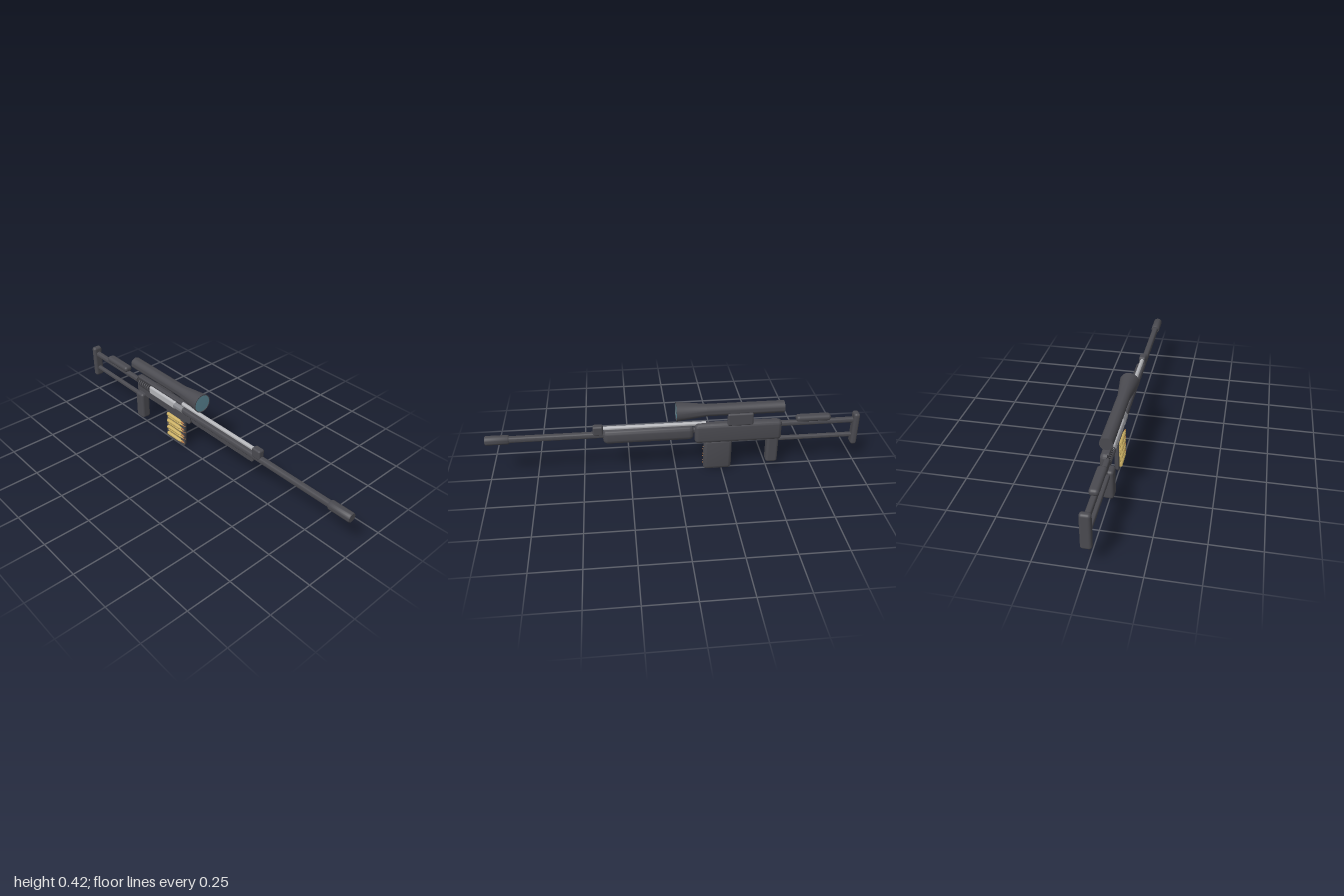
import * as THREE from 'three';
import { toCreasedNormals } from 'three/addons/utils/BufferGeometryUtils.js';
import { RoundedBoxGeometry } from 'three/addons/geometries/RoundedBoxGeometry.js';

const mat = (name, color) => {
  const m = new THREE.MeshStandardMaterial({ color });
  m.name = name;
  return m;
};

export function createModel() {
  const model = new THREE.Group();
  const gunmetal = mat('gunmetal', 0x4a4a50);
  const steel = mat('polished steel', 0xb4b5b9);
  const boltGrey = mat('bolt grey', 0x85868b);
  const recess = mat('dark recess', 0x38383d);
  const brass = mat('brass', 0xc9ae62);
  const copper = mat('copper', 0xa8713f);
  const glass = mat('lens blue', 0x5c8796);

  const add = (name, geometry, material, parent = model) => {
    const mesh = new THREE.Mesh(geometry, material);
    mesh.name = name;
    parent.add(mesh);
    return mesh;
  };

  // Rounded box given by its extents
  const block = (name, x0, x1, y0, y1, z0, z1, r, material = gunmetal) => {
    const m = add(name, new RoundedBoxGeometry(x1 - x0, y1 - y0, z1 - z0, 3, r), material);
    m.position.set((x0 + x1) / 2, (y0 + y1) / 2, (z0 + z1) / 2);
    return m;
  };

  // Rounded box sliced flat along the z = 0 plane, keeping the rear half
  const halfBlock = (name, x0, x1, y0, y1, depth, r) => {
    const g = new RoundedBoxGeometry(x1 - x0, y1 - y0, depth * 2, 3, r);
    const p = g.attributes.position;
    for (let i = 0; i < p.count; i++) p.setZ(i, Math.min(p.getZ(i), 0));
    const m = add(name, toCreasedNormals(g, 0.6), gunmetal);
    m.position.set((x0 + x1) / 2, (y0 + y1) / 2, 0);
    return m;
  };

  // Turned part along x from [x, radius] pairs
  const turned = (name, profile, y, z, material, parent = model, sides = 24) => {
    const pts = profile.map(([x, r]) => new THREE.Vector2(r, x));
    const g = new THREE.LatheGeometry(pts, sides);
    g.rotateZ(-Math.PI / 2);
    const m = add(name, toCreasedNormals(g, 0.6), material, parent);
    m.position.set(0, y, z);
    return m;
  };
  const rod = (name, x0, x1, y, r, material, z = 0) =>
    turned(name, [[x0, 0], [x0, r], [x1, r], [x1, 0]], y, z, material);

  // Skeleton stock
  block('buttPlate', -1, -0.966, 0.115, 0.307, -0.027, 0.027, 0.014);
  rod('upperStockRod', -0.975, -0.56, 0.262, 0.016, gunmetal);
  rod('lowerStockRod', -0.975, -0.56, 0.169, 0.013, gunmetal);
  block('cheekRest', -0.84, -0.65, 0.272, 0.307, -0.024, 0.024, 0.016);

  // Grip and opened receiver
  block('grip', -0.56, -0.495, 0.03, 0.195, -0.028, 0.028, 0.015);
  halfBlock('receiverHalf', -0.57, -0.1, 0.178, 0.293, 0.036, 0.02);
  block('receiverCavity', -0.55, -0.15, 0.223, 0.281, -0.004, 0.002, 0.002, recess);
  block('receiverTopRail', -0.55, -0.15, 0.278, 0.293, -0.016, 0.008, 0.005);

  // Bolt and recoil spring
  block('boltCarrier', -0.444, -0.213, 0.227, 0.277, -0.016, 0.016, 0.012, steel);
  rod('boltHead', -0.22, -0.15, 0.252, 0.021, boltGrey);
  const turns = 6;
  const coil = [];
  for (let i = 0; i <= turns * 10; i++) {
    const a = (i / 10) * Math.PI * 2;
    coil.push(new THREE.Vector3(-0.54 + (0.098 * i) / (turns * 10),
      0.252 + 0.016 * Math.cos(a), 0.016 * Math.sin(a)));
  }
  add('recoilSpring', new THREE.TubeGeometry(new THREE.CatmullRomCurve3(coil), 140, 0.0035, 6), gunmetal);

  // Barrel, gas system and opened handguard
  rod('barrel', -0.16, 0.9, 0.25, 0.018, gunmetal);
  turned('muzzleBrake', [[0.875, 0], [0.875, 0.021], [0.882, 0.025], [0.995, 0.025],
    [1, 0.022], [1, 0]], 0.25, 0, gunmetal);
  rod('gasRod', -0.16, 0.395, 0.287, 0.011, steel);
  block('gasBlock', 0.385, 0.44, 0.25, 0.306, -0.019, 0.019, 0.01);
  halfBlock('handguardHalf', -0.095, 0.387, 0.2, 0.282, 0.031, 0.025);

  // Scope
  turned('scopeBody', [[-0.577, 0], [-0.577, 0.033], [-0.16, 0.033], [0, 0.052],
    [0, 0.048], [-0.008, 0.047], [-0.008, 0]], 0.367, 0, gunmetal, model, 32);
  turned('frontLens', [[-0.006, 0.0485], [-0.002, 0.0485], [-0.001, 0]], 0.367, 0, glass, model, 32);
  block('scopeMount', -0.41, -0.273, 0.283, 0.355, -0.041, -0.012, 0.009);

  // Opened magazine with staggered cartridges
  halfBlock('magazineHalf', -0.305, -0.15, 0.002, 0.19, 0.024, 0.02);
  const cartridges = new THREE.Group();
  cartridges.name = 'cartridges';
  model.add(cartridges);
  for (let i = 0; i < 7; i++) {
    const y = 0.033 + i * 0.0218;
    const z = i % 2 ? -0.003 : 0.006;
    turned('cartridgeCase', [[-0.286, 0], [-0.286, 0.0105], [-0.188, 0.0098],
      [-0.179, 0.0065], [-0.168, 0.0065], [-0.168, 0]], y, z, brass, cartridges, 14);
    turned('bulletTip', [[-0.17, 0.0063], [-0.16, 0.0055], [-0.15, 0.003], [-0.143, 0]],
      y, z, copper, cartridges, 14);
  }
  return model;
}
